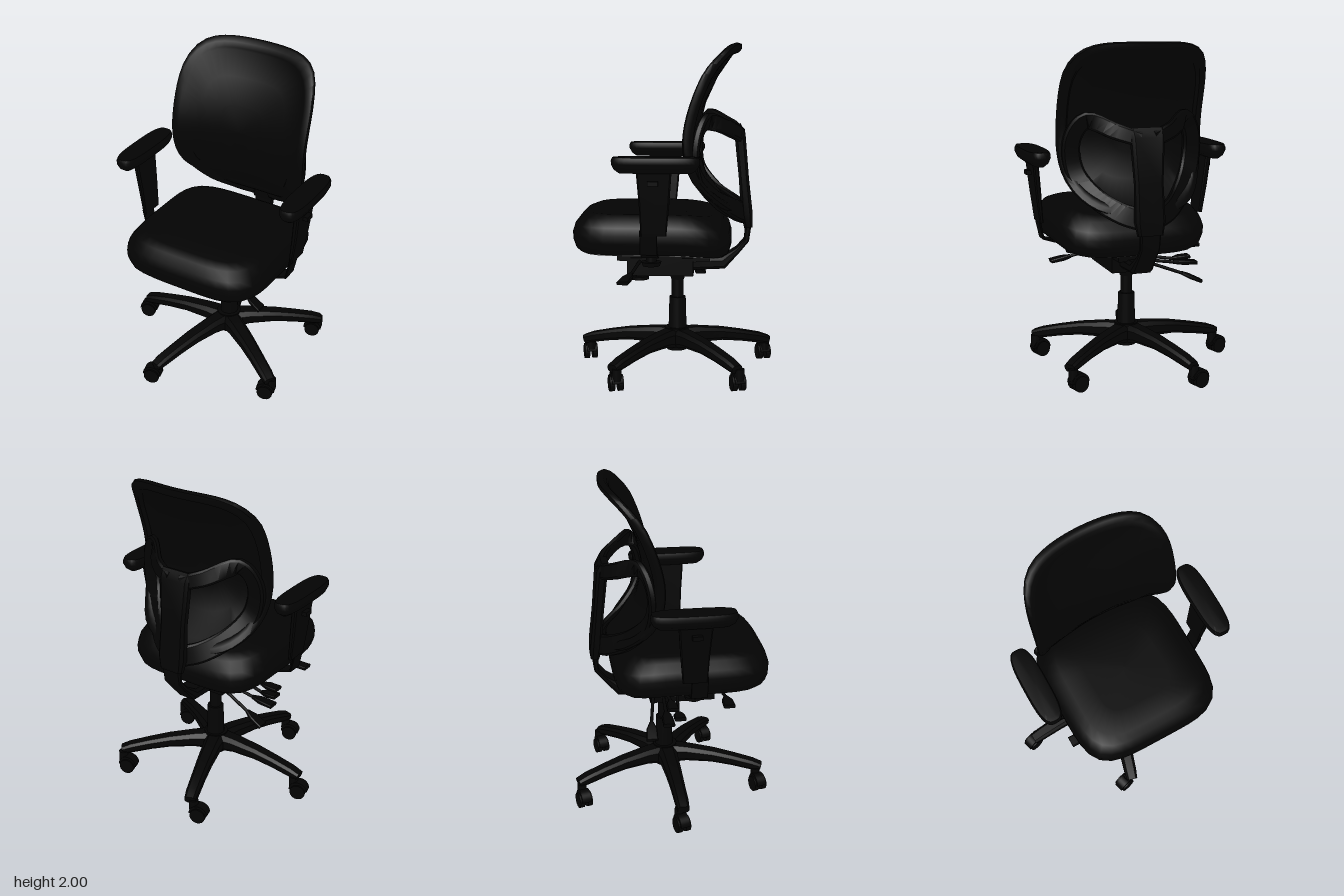
import * as THREE from 'three';
import { toCreasedNormals } from 'three/addons/utils/BufferGeometryUtils.js';

const black = new THREE.MeshStandardMaterial({ color: 0x030303 });
black.name = 'black';
const grey = new THREE.MeshStandardMaterial({ color: 0xb0b0b0 });
grey.name = 'grey';

const V = (x, y, z) => new THREE.Vector3(x, y, z);
const CX = 0.025; // centre line of the chair

function add(parent, name, geometry, material = black) {
  const mesh = new THREE.Mesh(geometry, material);
  mesh.name = name;
  parent.add(mesh);
  return mesh;
}

// Skin a stack of equal-length rings, cap both ends, and face it outwards
function loft(rings, crease = 0.7) {
  const n = rings[0].length, pts = rings.flat(), idx = [];
  for (let i = 0; i < rings.length - 1; i++)
    for (let j = 0; j < n; j++) {
      const a = i * n + j, b = i * n + (j + 1) % n;
      idx.push(a, b, a + n, b, b + n, a + n);
    }
  [rings[0], rings[rings.length - 1]].forEach((ring, end) => {
    const c = pts.length, base = end ? (rings.length - 1) * n : 0;
    pts.push(ring.reduce((s, p) => s.add(p), V(0, 0, 0)).divideScalar(n));
    for (let j = 0; j < n; j++) {
      const a = base + j, b = base + (j + 1) % n;
      end ? idx.push(c, a, b) : idx.push(c, b, a);
    }
  });
  let volume = 0;
  for (let i = 0; i < idx.length; i += 3)
    volume += pts[idx[i]].dot(pts[idx[i + 1]].clone().cross(pts[idx[i + 2]]));
  if (volume < 0) idx.reverse();
  const g = new THREE.BufferGeometry().setFromPoints(pts);
  g.setIndex(idx);
  return toCreasedNormals(g, crease);
}

// Chamfered rectangular bar along a path; sizes = [width along side, height] per point
function bar(path, side, sizes) {
  const rings = path.map((p, i) => {
    const t = path[Math.min(i + 1, path.length - 1)].clone().sub(path[Math.max(i - 1, 0)]).normalize();
    const up = t.cross(side).normalize();
    const [w, h] = Array.isArray(sizes[0]) ? sizes[i] : sizes;
    const a = w / 2, b = h / 2, c = Math.min(a, b) * 0.5;
    return [[a, b - c], [a - c, b], [c - a, b], [-a, b - c], [-a, c - b], [c - a, -b], [a - c, -b], [a, c - b]]
      .map(([u, v]) => p.clone().addScaledVector(side, u).addScaledVector(up, v));
  });
  return loft(rings, 0.6);
}

// Unit rounded-square outline; power may differ above and below
function outline(count, powTop, powBottom = powTop) {
  return Array.from({ length: count }, (_, i) => {
    const a = (i / count) * Math.PI * 2, c = Math.cos(a), s = Math.sin(a), n = s > 0 ? powTop : powBottom;
    const r = Math.pow(Math.abs(c) ** n + Math.abs(s) ** n, -1 / n);
    return [c * r, s * r];
  });
}

// Horizontal cushion: levels = [scale, y]; droop lowers the rear
function cushion(cx, cz, hx, hz, power, levels, droop = 0) {
  const shape = outline(48, power), m = Math.min(hx, hz);
  return loft(levels.map(([s, y]) => shape.map(([u, v]) => {
    const inset = (1 - s) * m;
    const z = cz + v * (hz - inset);
    return V(cx + u * (hx - inset), y - droop * Math.min(0, z / 0.35) ** 2, z);
  })), 1.0);
}

function rod(parent, name, a, b, r) {
  const m = add(parent, name, new THREE.CylinderGeometry(r, r, a.distanceTo(b), 10));
  m.position.copy(a).add(b).multiplyScalar(0.5);
  m.quaternion.setFromUnitVectors(V(0, 1, 0), b.clone().sub(a).normalize());
}

function cyl(parent, name, x, y0, y1, z, rTop, rBottom = rTop) {
  const m = add(parent, name, new THREE.CylinderGeometry(rTop, rBottom, y1 - y0, 20));
  m.position.set(x, (y0 + y1) / 2, z);
}

function box(parent, name, x0, x1, y0, y1, z0, z1) {
  const m = add(parent, name, new THREE.BoxGeometry(x1 - x0, y1 - y0, z1 - z0));
  m.position.set((x0 + x1) / 2, (y0 + y1) / 2, (z0 + z1) / 2);
}

function buildCaster(x, z) {
  const g = new THREE.Group();
  g.name = 'caster';
  for (const s of [-1, 1]) {
    const wheel = add(g, 'casterWheel', new THREE.CylinderGeometry(0.048, 0.048, 0.03, 18));
    wheel.rotation.x = Math.PI / 2;
    wheel.position.set(0, 0.048, s * 0.025);
  }
  const hood = add(g, 'casterHood', new THREE.CylinderGeometry(0.058, 0.058, 0.06, 16, 1, false, Math.PI / 2, Math.PI));
  hood.rotation.x = Math.PI / 2;
  hood.position.y = 0.055;
  cyl(g, 'casterStem', 0.035, 0.07, 0.14, 0, 0.028);
  g.position.set(x, 0, z);
  g.rotation.y = 0.28;
  return g;
}

function buildBase() {
  const g = new THREE.Group();
  g.name = 'base';
  // five arched legs
  for (let k = 0; k < 5; k++) {
    const path = [[0.03, 0.205], [0.14, 0.212], [0.3, 0.203], [0.43, 0.182], [0.55, 0.157], [0.61, 0.14]];
    const leg = add(g, 'leg', bar(path.map(([r, y]) => V(r, y, 0)), V(0, 0, 1),
      [[0.13, 0.12], [0.11, 0.095], [0.095, 0.075], [0.085, 0.067], [0.08, 0.062], [0.07, 0.05]]));
    leg.position.set(0.015, 0, -0.01);
    leg.rotation.y = -((34 + 72 * k) * Math.PI) / 180;
  }
  cyl(g, 'hub', 0.02, 0.13, 0.27, -0.015, 0.075, 0.06);
  for (const [x, z] of [[-0.6, 0], [-0.24, -0.555], [-0.195, 0.55], [0.445, -0.39], [0.485, 0.315]])
    g.add(buildCaster(x, z));
  // gas lift
  cyl(g, 'liftSleeve', 0.02, 0.25, 0.46, -0.02, 0.05, 0.056);
  cyl(g, 'liftPiston', 0.02, 0.45, 0.62, -0.02, 0.036);
  cyl(g, 'liftCollar', 0.02, 0.57, 0.61, -0.02, 0.05, 0.04);
  return g;
}

function buildMechanism() {
  const g = new THREE.Group();
  g.name = 'mechanism';
  box(g, 'housing', -0.1, 0.145, 0.61, 0.72, -0.12, 0.28);
  box(g, 'topPlate', -0.09, 0.14, 0.7, 0.775, -0.22, 0.34);
  cyl(g, 'tensionKnob', 0.04, 0.57, 0.59, 0.21, 0.055);
  cyl(g, 'tensionScrew', 0.04, 0.58, 0.63, 0.21, 0.025);
  for (const x of [-0.26, 0.31]) {
    cyl(g, 'armKnob', x, 0.705, 0.73, 0.12, 0.06, 0.05);
    cyl(g, 'armBolt', x, 0.72, 0.78, 0.12, 0.03);
  }
  // adjustment levers with paddle ends
  const levers = [
    [V(-0.08, 0.66, -0.1), V(-0.3, 0.58, -0.14), V(-0.42, 0.525, -0.15)],
    [V(-0.08, 0.66, -0.04), V(-0.28, 0.63, -0.05), V(-0.43, 0.62, -0.05)],
    [V(-0.08, 0.67, 0.05), V(-0.3, 0.635, 0.02), V(-0.41, 0.645, 0.02)],
    [V(-0.08, 0.73, 0.28), V(-0.32, 0.73, 0.305), V(-0.45, 0.73, 0.305)],
    [V(-0.08, 0.73, -0.03), V(-0.33, 0.73, -0.03), V(-0.45, 0.73, -0.03)],
    [V(0.13, 0.7, 0.2), V(0.3, 0.65, 0.24), V(0.42, 0.62, 0.28)],
  ];
  for (const [a, b, c] of levers) {
    rod(g, 'leverRod', a, b, 0.01);
    add(g, 'leverPaddle', bar([b, b.clone().lerp(c, 0.4), c], V(0, 0, 1), [[0.025, 0.022], [0.065, 0.028], [0.07, 0.022]]));
  }
  // bent bar carrying the backrest
  add(g, 'backStem', bar([V(CX, 0.93, -0.45), V(CX, 0.82, -0.44), V(CX, 0.76, -0.39), V(CX, 0.68, -0.3), V(CX, 0.67, -0.08)],
    V(1, 0, 0), [[0.13, 0.04], [0.12, 0.03], [0.12, 0.03], [0.14, 0.07], [0.14, 0.07]]));
  return g;
}

function buildSeat() {
  const g = new THREE.Group();
  g.name = 'seat';
  add(g, 'seatCushion', cushion(0.03, 0.12, 0.46, 0.47, 4.5,
    [[0.5, 1.02], [0.78, 1.018], [0.89, 0.997], [0.97, 0.95], [1, 0.905], [0.995, 0.86], [0.965, 0.815], [0.91, 0.79]], 0.045));
  add(g, 'seatPan', cushion(0.03, 0.12, 0.41, 0.42, 4.5, [[1, 0.792], [0.99, 0.783]], 0.045), grey);
  return g;
}

function buildBackrest() {
  const g = new THREE.Group();
  g.name = 'backrest';
  // reclining S-profile, with the sides wrapping forward, more so near the top
  const profile = new THREE.SplineCurve([-0.33, -0.18, -0.13, -0.155, -0.24, -0.36].map((z, i) => new THREE.Vector2(1 + i * 0.2, z)));
  const zAt = (u, y) => profile.getPoint(THREE.MathUtils.clamp(y - 1, 0, 1)).y
    + (0.065 + 0.03 * THREE.MathUtils.smoothstep(y, 1.6, 2)) * u * u;
  const shape = outline(64, 4.5, 3);
  // front panel, raised rim, then recessed back panel
  const steps = [[0.02, -0.004], [0.3, -0.004], [0.6, -0.004], [0.86, -0.006], [0.89, 0.002], [0.95, 0.004], [0.99, -0.008],
    [1, -0.022], [0.985, -0.045], [0.93, -0.057], [0.89, -0.052], [0.86, -0.024], [0.6, -0.02], [0.3, -0.02], [0.02, -0.02]];
  add(g, 'backPanelAndRim', loft(steps.map(([s, dz]) => shape.map(([u, v]) => {
    const y = 1.5 + v * s * 0.5;
    return V(CX + u * s * 0.455, y, zAt(u * s, y) + dz);
  })), 0.8));
  // central spine
  add(g, 'spine', bar([V(CX, 1.51, -0.375), V(CX, 1.46, -0.395), V(CX, 1.2, -0.42), V(CX, 0.98, -0.44), V(CX, 0.9, -0.45)],
    V(1, 0, 0), [[0.2, 0.05], [0.2, 0.065], [0.17, 0.06], [0.18, 0.07], [0.15, 0.05]]));
  // flat looped support on each side of the spine
  for (const s of [-1, 1]) {
    const pts = [[0.05, 1.455, -0.4], [0.17, 1.495, -0.345], [0.31, 1.545, -0.2], [0.375, 1.43, -0.145],
      [0.36, 1.25, -0.15], [0.265, 1.105, -0.25], [0.15, 1.025, -0.36], [0.04, 0.99, -0.42]];
    const path = new THREE.CatmullRomCurve3(pts.map(([x, y, z]) => V(CX + s * x, y, z))).getPoints(36);
    add(g, 'supportLoop', bar(path, V(0, 0, 1), path.map((_, i) => [0.05, 0.09 + 0.04 * (i / 36)])));
  }
  return g;
}

function buildArm(s) {
  const g = new THREE.Group();
  g.name = s > 0 ? 'leftArm' : 'rightArm';
  const X = (x) => CX + s * x;
  add(g, 'armPad', cushion(X(0.553), 0.075, 0.073, 0.247, 3.2,
    [[0.6, 1.37], [0.9, 1.367], [1, 1.35], [1, 1.33], [0.8, 1.3], [0.4, 1.278]]));
  add(g, 'armPost', bar([V(X(0.555), 1.3, 0.085), V(X(0.535), 1.1, 0.085), V(X(0.515), 0.92, 0.09)],
    V(0, 0, 1), [[0.2, 0.035], [0.17, 0.032], [0.145, 0.022]]));
  add(g, 'armBracket', bar([V(X(0.52), 0.95, 0.12), V(X(0.49), 0.81, 0.12), V(X(0.36), 0.77, 0.12), V(X(0.22), 0.76, 0.12), V(X(0.06), 0.76, 0.12)],
    V(0, 0, 1), [0.1, 0.012]));
  box(g, 'heightButton', X(0.575) - 0.02, X(0.575) + 0.02, 1.21, 1.235, 0.06, 0.12);
  return g;
}

export function createModel() {
  const chair = new THREE.Group();
  chair.name = 'officeChair';
  chair.add(buildBase(), buildMechanism(), buildSeat(), buildBackrest(), buildArm(-1), buildArm(1));
  return chair;
}
